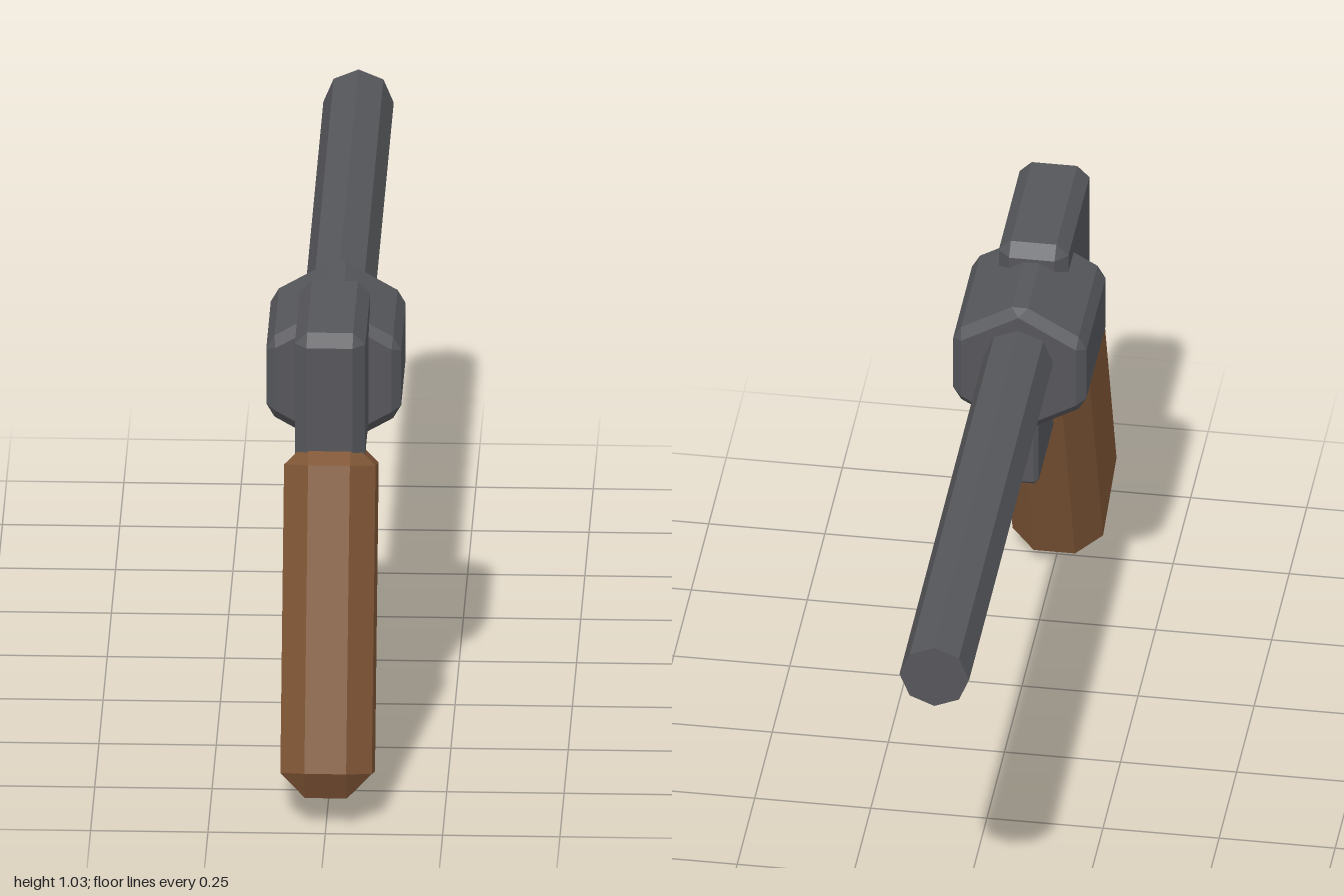
import * as THREE from 'three';
import { ConvexGeometry } from 'three/addons/geometries/ConvexGeometry.js';

const metal = new THREE.MeshStandardMaterial({ color: 0x56575b, flatShading: true });
const wood = new THREE.MeshStandardMaterial({ color: 0x805636, flatShading: true });

// Prism along z over a convex outline, with every edge chamfered by b
function bevelledPrism(outline, depth, b) {
  const points = [];
  const n = outline.length;
  const h = depth / 2;
  outline.forEach((p, i) => {
    const toNext = outline[(i + 1) % n].clone().sub(p).normalize();
    const toPrev = outline[(i + n - 1) % n].clone().sub(p).normalize();
    const inset = b / Math.abs(toNext.cross(toPrev));
    const cap = p.clone().addScaledVector(toNext, inset).addScaledVector(toPrev, inset);
    for (const s of [-1, 1]) {
      points.push(new THREE.Vector3(cap.x, cap.y, s * h));
      for (const dir of [toNext, toPrev]) {
        const side = p.clone().addScaledVector(dir, b);
        points.push(new THREE.Vector3(side.x, side.y, s * (h - b)));
      }
    }
  });
  return new ConvexGeometry(points);
}

function rectangle(w, h) {
  return [[-1, -1], [1, -1], [1, 1], [-1, 1]].map(([x, y]) => new THREE.Vector2(x * w / 2, y * h / 2));
}

function hexagon(r) {
  return Array.from({ length: 6 }, (_, i) => {
    const a = Math.PI / 2 + i * Math.PI / 3;
    return new THREE.Vector2(r * Math.cos(a), r * Math.sin(a));
  });
}

export function createModel() {
  const model = new THREE.Group();
  function add(name, geometry, material, y, z) {
    const mesh = new THREE.Mesh(geometry, material);
    mesh.name = name;
    mesh.position.set(0, y, z);
    model.add(mesh);
    return mesh;
  }

  // Eight-sided barrel pointing to the back
  const barrel = new THREE.CylinderGeometry(0.075, 0.075, 1.25, 8).rotateX(Math.PI / 2);
  add('barrel', barrel, metal, 0.885, -0.375);

  // Six-sided drum with its corner up
  add('drum', bevelledPrism(hexagon(0.166), 0.31, 0.02), metal, 0.85, 0.355);

  // Upright frame behind the drum
  add('frame', bevelledPrism(rectangle(0.15, 0.305), 0.35, 0.026), metal, 0.8875, 0.565);

  // Thin trigger block, its end buried in the grip
  add('trigger', bevelledPrism(rectangle(0.045, 0.205), 0.25, 0.01), metal, 0.5725, 0.455);

  // Slanted wooden grip
  const grip = add('grip', bevelledPrism(rectangle(0.195, 0.763), 0.31, 0.053), wood, 0.399, 0.745);
  grip.rotation.x = -THREE.MathUtils.degToRad(20);

  return model;
}
